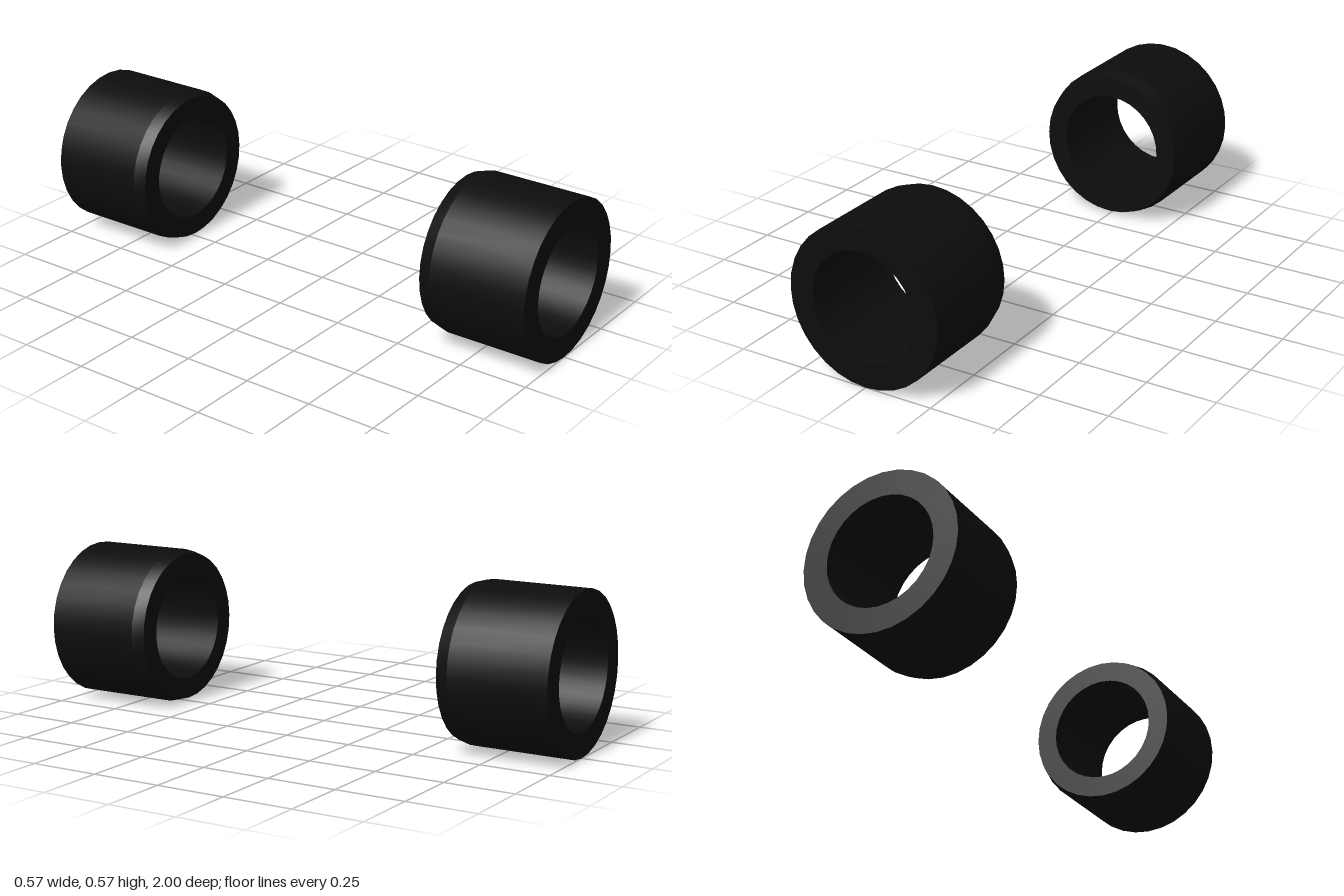
import * as THREE from 'three';
import { toCreasedNormals } from 'three/addons/utils/BufferGeometryUtils.js';

const OUTER = 0.284, INNER = 0.196, NEAR = 0.595, FAR = 1, SIDES = 32;

export function createModel() {
  const model = new THREE.Group();
  const black = new THREE.MeshStandardMaterial({ color: 0x0d0d0d });
  black.name = 'black rubber';

  // Closed sleeve section: [radius, distance along z], bevelled at the inward end
  const profile = [
    [INNER, NEAR], [OUTER - 0.012, NEAR], [OUTER, NEAR + 0.045],
    [OUTER, FAR], [INNER, FAR], [INNER, NEAR],
  ].map(([r, d]) => new THREE.Vector2(r, d));
  const lathe = new THREE.LatheGeometry(profile, SIDES).rotateX(Math.PI / 2);
  const sleeve = toCreasedNormals(lathe, 0.22);

  // Two sleeves on one axis, bevels facing each other
  for (const [name, turn] of [['frontSleeve', 0], ['backSleeve', Math.PI]]) {
    const mesh = new THREE.Mesh(sleeve, black);
    mesh.name = name;
    mesh.position.y = OUTER;
    mesh.rotation.y = turn;
    model.add(mesh);
  }
  return model;
}
